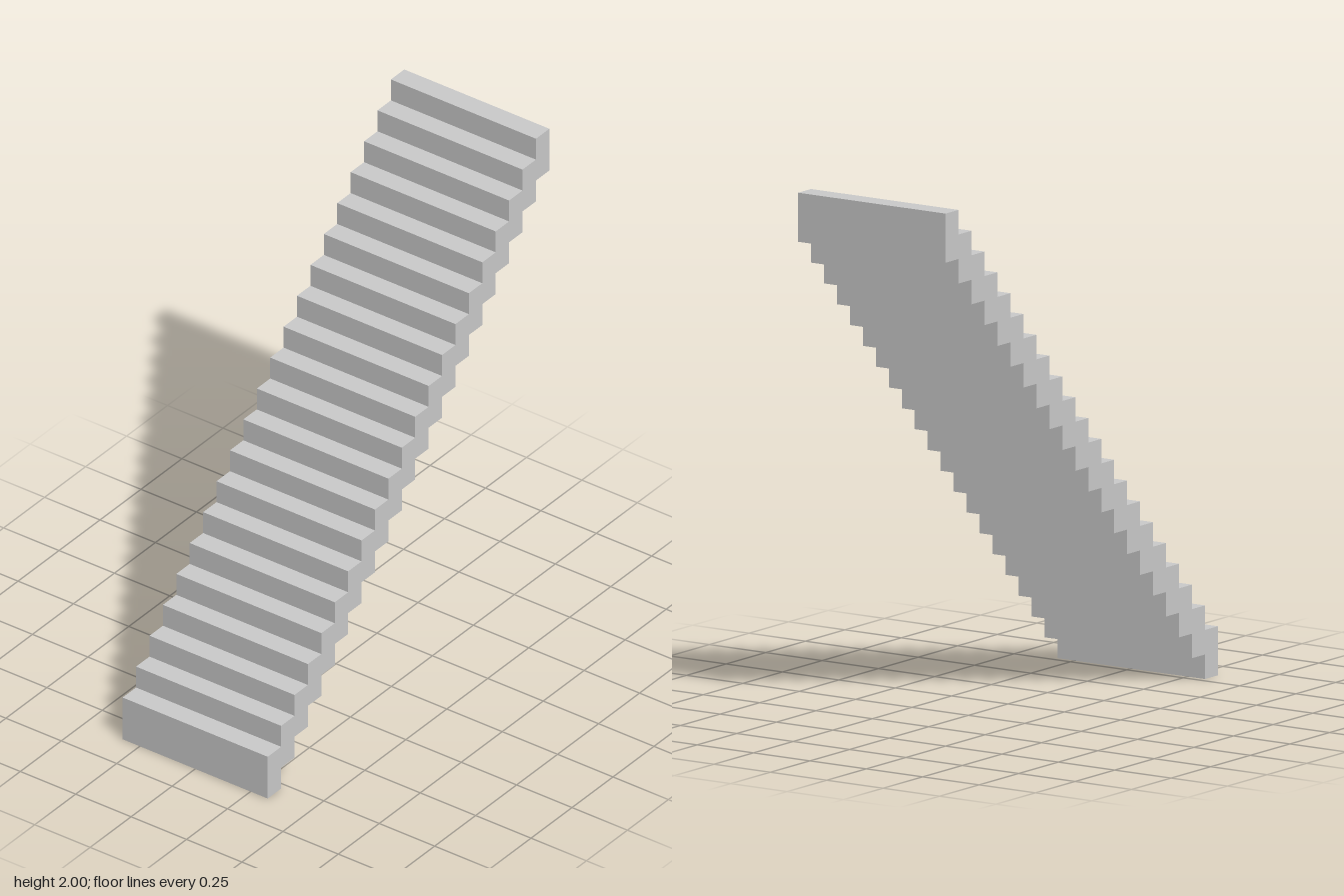
import * as THREE from 'three';

const STEPS = 21;
const RISE = 2 / (STEPS + 1);
const RUN = RISE * 0.9;
const WIDTH = RUN * 8;

export function createModel() {
  const group = new THREE.Group();
  group.name = 'staircase';

  // Side outline: treads climbing towards +x, then the stepped underside back down
  const x = (i) => (i - STEPS / 2) * RUN;
  const outline = [];
  for (let i = 0; i < STEPS; i++) {
    const top = (i + 2) * RISE;
    outline.push(new THREE.Vector2(x(i), top), new THREE.Vector2(x(i + 1), top));
  }
  for (let i = STEPS - 1; i >= 0; i--) {
    const bottom = i * RISE;
    outline.push(new THREE.Vector2(x(i + 1), bottom), new THREE.Vector2(x(i), bottom));
  }

  // Extrude the outline across the width of the flight
  const geometry = new THREE.ExtrudeGeometry(new THREE.Shape(outline), {
    depth: WIDTH,
    bevelEnabled: false,
  });
  geometry.translate(0, 0, -WIDTH / 2);

  const material = new THREE.MeshStandardMaterial({ color: 0xcccccc, flatShading: true });
  const flight = new THREE.Mesh(geometry, material);
  flight.name = 'stairFlight';
  group.add(flight);
  return group;
}
